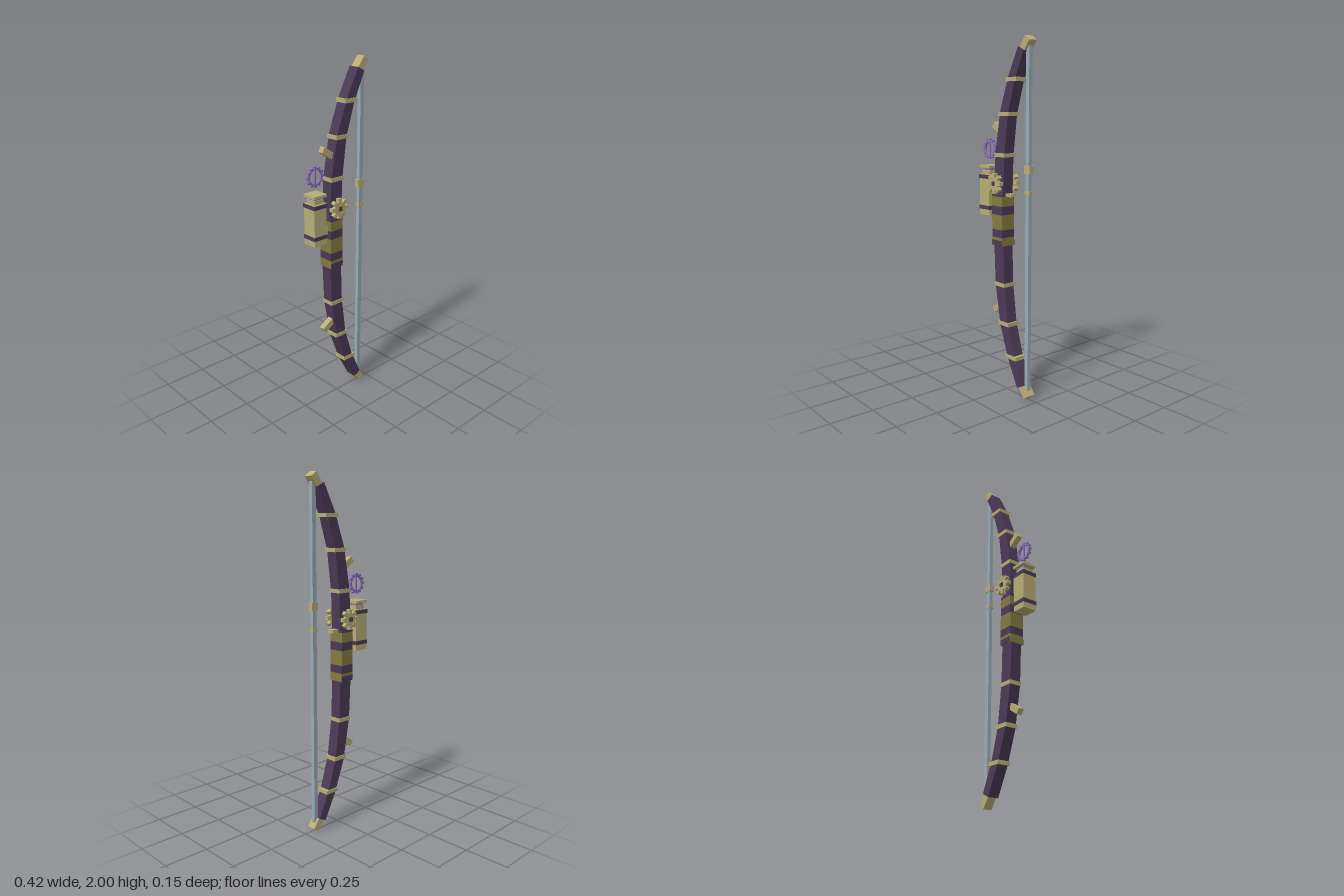
import * as THREE from 'three';

const mat = (name, color) => {
  const m = new THREE.MeshStandardMaterial({ color });
  m.name = name;
  return m;
};

export function createModel() {
  const purple = mat('dark purple wood', 0x4a3a56);
  const brass = mat('pale brass', 0xb8ad76);
  const bronze = mat('dark bronze', 0x857a40);
  const steel = mat('blue grey string', 0x9aabb4);
  const violet = mat('violet glass', 0x8a6fb8);

  const bow = new THREE.Group();
  bow.name = 'bow';

  const add = (name, geo, material, x = 0, y = 0, z = 0, rot = 0, parent = bow) => {
    const m = new THREE.Mesh(geo, material);
    m.name = name;
    m.position.set(x, y, z);
    m.rotation.z = rot;
    parent.add(m);
    return m;
  };
  const box = (name, material, w, h, d, x, y, z = 0, rot = 0, parent = bow) =>
    add(name, new THREE.BoxGeometry(w, h, d), material, x, y, z, rot, parent);
  const slab = (shape, depth) =>
    new THREE.ExtrudeGeometry(shape, { depth, bevelEnabled: false, curveSegments: 12 }).translate(0, 0, -depth / 2);

  // Bent limbs: centre x, height above the middle, width; mirrored about y = 1
  const half = [
    [-0.036, 0.15, 0.082], [-0.027, 0.37, 0.079], [0.009, 0.6, 0.068],
    [0.07, 0.78, 0.058], [0.146, 0.935, 0.05],
  ];
  const spine = [...half.map(([x, y, w]) => [x, 1 - y, w]).reverse(), ...half.map(([x, y, w]) => [x, 1 + y, w])];
  const left = [], right = [];
  spine.forEach(([x, y, w], i) => {
    const a = spine[Math.max(i - 1, 0)], b = spine[Math.min(i + 1, spine.length - 1)];
    const n = new THREE.Vector2(b[1] - a[1], a[0] - b[0]).normalize().multiplyScalar(w / 2);
    right.push(new THREE.Vector2(x + n.x, y + n.y));
    left.push(new THREE.Vector2(x - n.x, y - n.y));
  });
  add('limbs', slab(new THREE.Shape([...right, ...left.reverse()]), 0.066), purple);

  // Bands, tips and front pegs on both limbs
  for (const s of [1, -1]) {
    for (const [x, y] of [[-0.027, 0.37], [0.009, 0.595], [0.073, 0.78]])
      box('limbBand', brass, 0.086, 0.022, 0.076, x, 1 + s * y);
    box('limbTip', brass, 0.042, 0.073, 0.052, 0.168, 1 + s * 0.959, 0, -s * 0.64);
    box('limbPeg', brass, 0.09, 0.035, 0.034, -0.069, 1 + s * 0.515, 0, -s * 0.58);
  }

  // String with nocking pieces
  box('string', steel, 0.026, 1.9, 0.022, 0.177, 1);
  box('nockBlock', brass, 0.045, 0.045, 0.028, 0.177, 1.3);
  box('nockBead', brass, 0.036, 0.02, 0.028, 0.177, 1.175);

  // Grip: stacked wraps
  const wraps = [
    [0.857, 0.905, bronze], [0.905, 0.95, purple], [0.95, 1.035, bronze],
    [1.035, 1.083, purple], [1.083, 1.138, bronze], [1.138, 1.152, purple],
  ];
  for (const [y0, y1, m] of wraps)
    box('gripWrap', m, 0.087, y1 - y0, 0.09, -0.038, (y0 + y1) / 2);
  for (const z of [-0.046, 0.046])
    box('gripFootPlate', purple, 0.086, 0.03, 0.003, -0.038, 0.873, z);
  box('arrowRest', brass, 0.08, 0.017, 0.035, 0.012, 1.148);

  // Cog wheels on either side, joined by an axle
  const cog = new THREE.Group();
  cog.name = 'cogs';
  cog.position.set(-0.037, 1.213, 0);
  bow.add(cog);
  const wheel = new THREE.CylinderGeometry(0.038, 0.038, 0.022, 16).rotateX(Math.PI / 2);
  for (const z of [-0.061, 0.061]) {
    add('cogWheel', wheel, brass, 0, 0, z, 0, cog);
    for (let i = 0; i < 8; i++) {
      const a = (i * Math.PI) / 4;
      box('cogTooth', brass, 0.024, 0.021, 0.025, Math.cos(a) * 0.045, Math.sin(a) * 0.045, z, a, cog);
    }
  }
  box('axle', purple, 0.024, 0.024, 0.153, 0, 0, 0, 0, cog);

  // Canister on a bracket
  const cx = -0.154;
  box('canisterBody', brass, 0.086, 0.235, 0.086, cx, 1.138);
  for (const y of [1.065, 1.242]) box('canisterBand', purple, 0.092, 0.022, 0.092, cx, y);
  box('canisterNeck', brass, 0.064, 0.026, 0.064, cx, 1.266);
  box('neckRing', violet, 0.056, 0.014, 0.056, cx, 1.285);
  box('canisterCap', brass, 0.09, 0.015, 0.09, cx, 1.299);
  box('bracket', brass, 0.06, 0.042, 0.04, -0.09, 1.08);

  // Sight ring with studs and a centre bar
  const sight = new THREE.Group();
  sight.name = 'sight';
  sight.position.set(cx, 1.4, 0);
  bow.add(sight);
  const ring = new THREE.Shape().absarc(0, 0, 0.05, 0, Math.PI * 2);
  ring.holes.push(new THREE.Path().absarc(0, 0, 0.039, 0, Math.PI * 2, true));
  add('sightRing', slab(ring, 0.011), violet, 0, 0, 0, 0, sight);
  for (let i = 0; i < 12; i++) {
    const a = (i * Math.PI) / 6;
    box('sightStud', violet, 0.012, 0.014, 0.013, Math.cos(a) * 0.052, Math.sin(a) * 0.052, 0, a, sight);
  }
  box('sightBar', violet, 0.008, 0.082, 0.008, 0, 0, 0, 0, sight);

  return bow;
}
